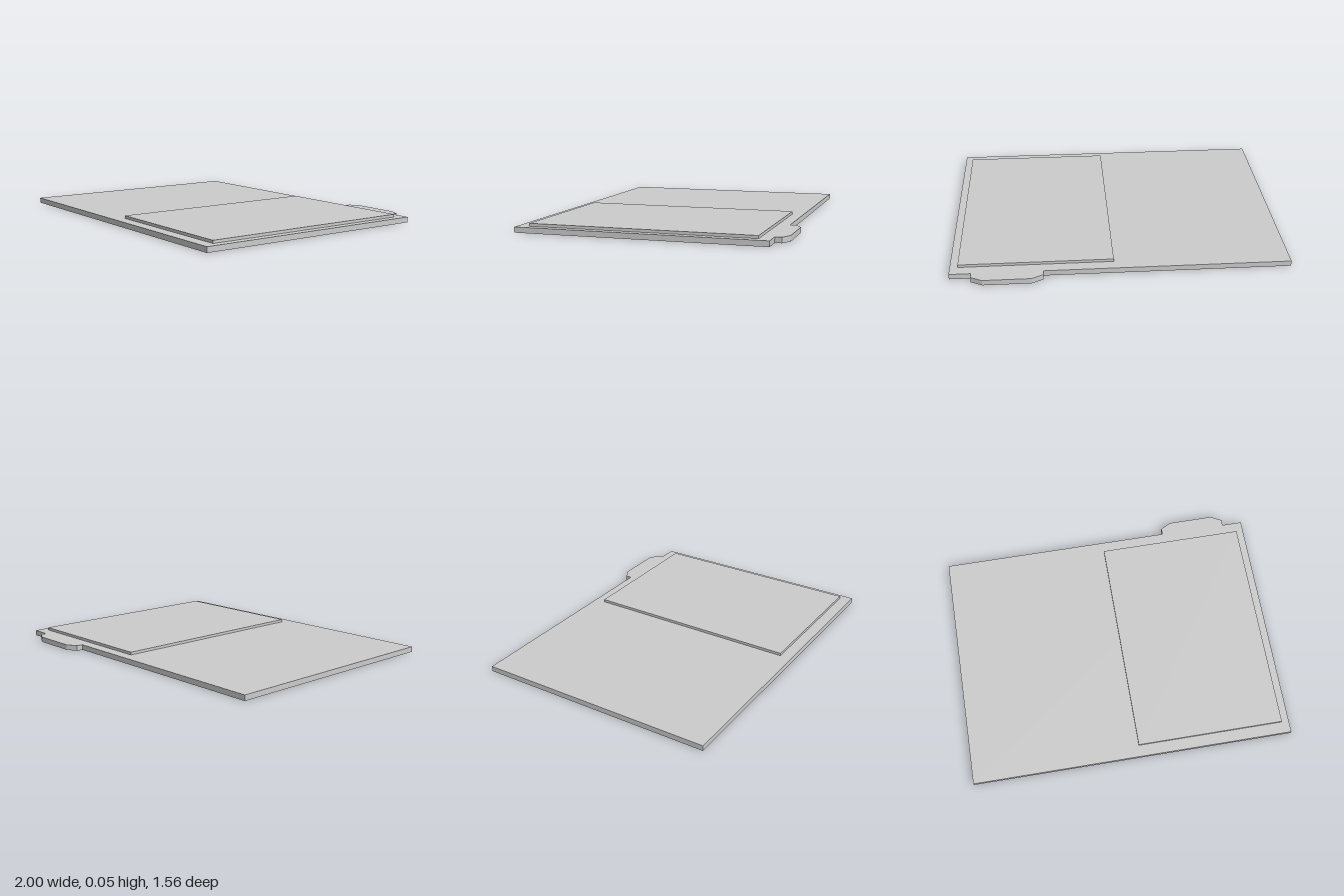
import * as THREE from 'three';

const material = new THREE.MeshStandardMaterial({ color: 0xcccccc, flatShading: true });

// Flat slab from an outline of [x, z] points, standing on the given height
function slab(name, outline, bottom, thickness) {
  const shape = new THREE.Shape(outline.map(([x, z]) => new THREE.Vector2(x, -z)));
  const geometry = new THREE.ExtrudeGeometry(shape, { depth: thickness, bevelEnabled: false });
  geometry.rotateX(-Math.PI / 2);
  const mesh = new THREE.Mesh(geometry, material);
  mesh.name = name;
  mesh.position.y = bottom;
  return mesh;
}

export function createModel() {
  const group = new THREE.Group();
  group.name = 'folder';
  const thickness = 0.033;
  const back = -0.706;

  // Open folder board with its chamfered index tab on the back edge
  group.add(slab('folderBoard', [
    [-1, 0.78], [1, 0.78], [1, back],
    [0.873, back], [0.873, -0.745], [0.805, -0.78],
    [0.523, -0.78], [0.456, -0.745], [0.456, back],
    [-1, back],
  ], 0, thickness));

  // Sheet of paper lying on the left half
  group.add(slab('paperSheet', [
    [0.043, 0.709], [0.953, 0.709], [0.953, -0.637], [0.043, -0.637],
  ], thickness, 0.017));

  return group;
}
